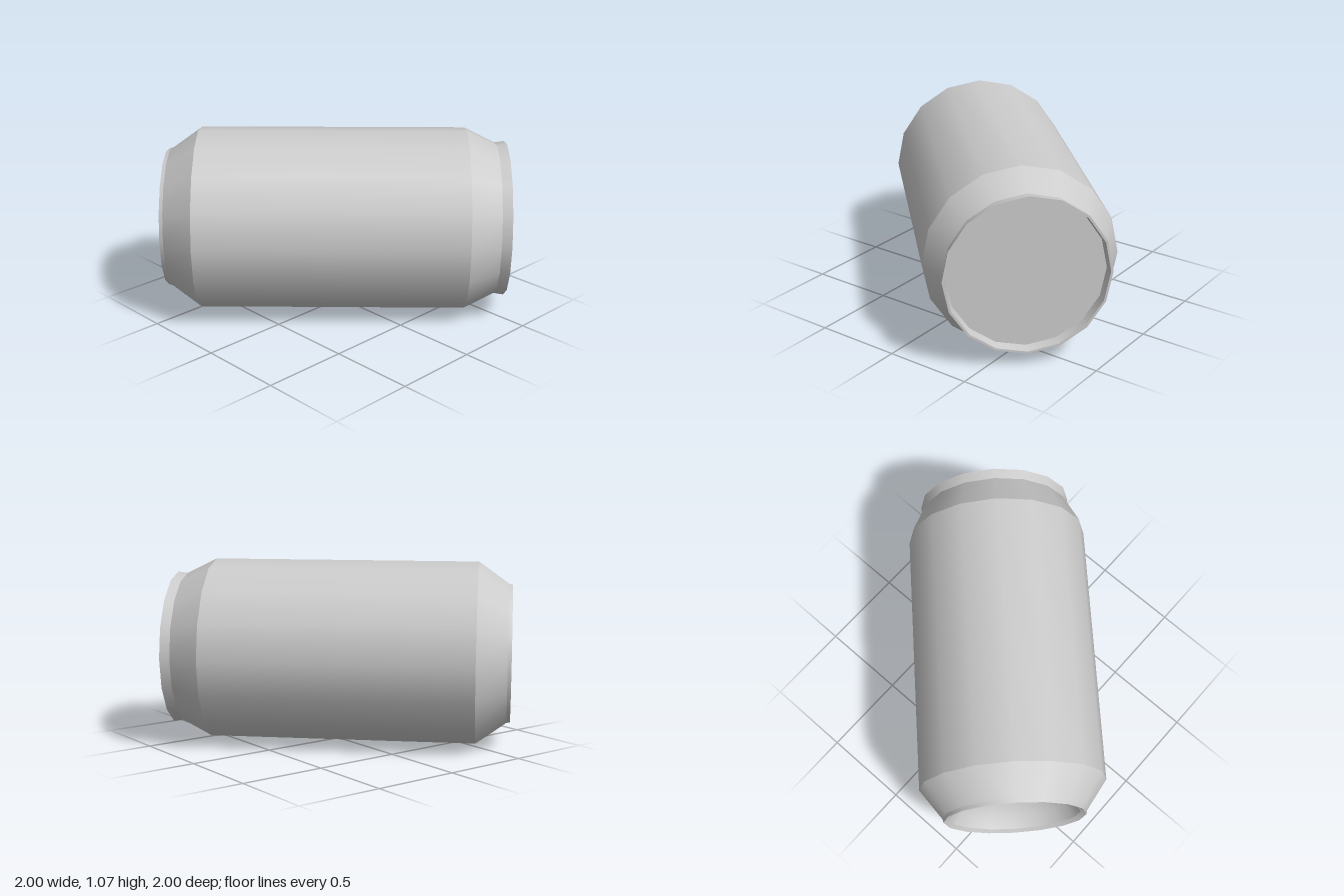
import * as THREE from 'three';

const SIDES = 16;
const RADIUS = 0.533;

export function createModel() {
  const model = new THREE.Group();
  model.name = 'drinkCan';
  const can = new THREE.Group();
  can.name = 'can';
  const material = new THREE.MeshStandardMaterial({ color: 0xcccccc });

  // Each band is its own lathe, so shading is smooth around and sharp between bands.
  // Profile points are [radius, distance along the can], base to lid.
  const band = (name, profile) => {
    const points = profile.map(([r, h]) => new THREE.Vector2(r, h));
    const mesh = new THREE.Mesh(new THREE.LatheGeometry(points, SIDES), material);
    mesh.name = name;
    can.add(mesh);
  };

  // Base: hollow dome and standing ring
  band('baseDome', [[0, -0.83], [0.12, -0.84], [0.23, -0.87], [0.32, -0.925], [0.37, -0.995]]);
  band('baseRing', [[0.37, -0.995], [0.403, -1.011]]);
  band('baseFoot', [[0.403, -1.011], [0.408, -0.99]]);
  band('baseTaper', [[0.408, -0.99], [RADIUS, -0.818]]);

  // Side wall
  band('body', [[RADIUS, -0.818], [RADIUS, 0.728]]);

  // Top: shoulder, flared rim and recessed lid
  band('shoulder', [[RADIUS, 0.728], [0.445, 0.905]]);
  band('rimOuter', [[0.445, 0.905], [0.453, 0.962]]);
  band('rimEdge', [[0.453, 0.962], [0.44, 0.962]]);
  band('rimInner', [[0.44, 0.962], [0.43, 0.906]]);
  band('lid', [[0.43, 0.906], [0, 0.906]]);

  // Lay the can on its side, lid turned diagonally to the front
  can.rotation.set(Math.PI / 2, Math.PI / 4, 0, 'YXZ');
  can.position.y = RADIUS;
  model.add(can);
  return model;
}
